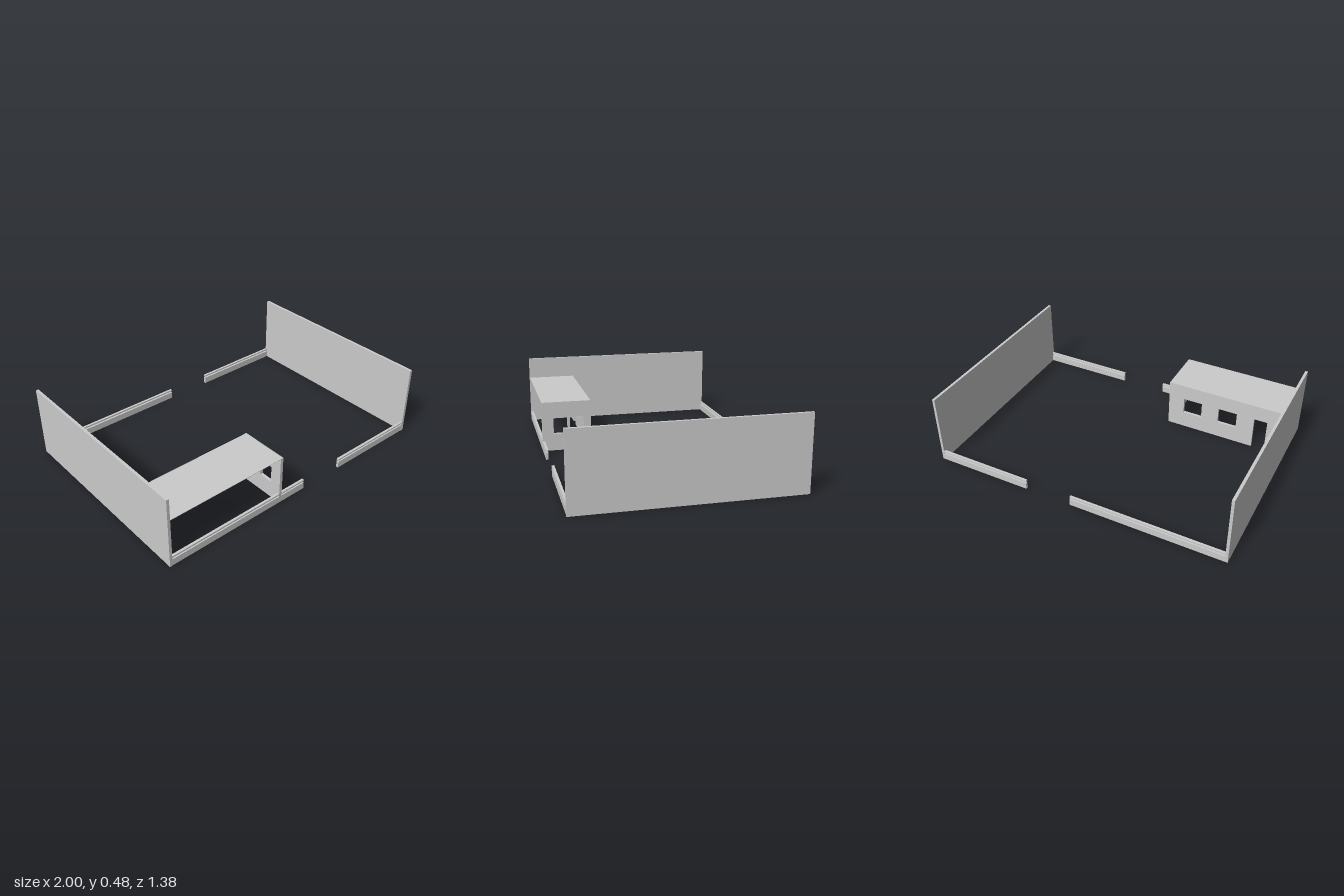
import * as THREE from 'three';

const material = new THREE.MeshStandardMaterial({ color: 0xcccccc, flatShading: true, side: THREE.DoubleSide });

// Box given by its lower and upper limits on each axis
function block(name, [x0, x1], [y0, y1], [z0, z1]) {
  const geometry = new THREE.BoxGeometry(x1 - x0, y1 - y0, z1 - z0);
  geometry.translate((x0 + x1) / 2, (y0 + y1) / 2, (z0 + z1) / 2);
  const mesh = new THREE.Mesh(geometry, material);
  mesh.name = name;
  return mesh;
}

function rectangle(Type, x0, x1, y0, y1) {
  return new Type([[x0, y0], [x1, y0], [x1, y1], [x0, y1]].map(p => new THREE.Vector2(...p)));
}

// Upright wall in the xy plane with rectangular openings
function piercedWall(name, outline, openings, depth) {
  for (const o of openings) outline.holes.push(rectangle(THREE.Path, ...o));
  const mesh = new THREE.Mesh(new THREE.ExtrudeGeometry(outline, { depth, bevelEnabled: false }), material);
  mesh.name = name;
  return mesh;
}

export function createModel() {
  const model = new THREE.Group();
  model.name = 'walledYard';

  // Tall walls on both sides
  model.add(block('rightWall', [-1, -0.982], [0, 0.477], [-0.688, 0.688]));
  model.add(block('leftWall', [0.982, 1], [0, 0.477], [-0.688, 0.688]));

  // Low walls front and back, with a gateway and a slim rail above each
  for (const [place, z] of [['front', [0.67, 0.686]], ['back', [-0.688, -0.672]]]) {
    for (const [side, x] of [['Right', [-0.982, 0.03]], ['Left', [0.345, 0.982]]]) {
      model.add(block(`${place}${side}LowWall`, x, [0, 0.045], z));
      model.add(block(`${place}${side}Rail`, x, [0.055, 0.066], z));
    }
  }

  // Open-fronted shelter in the corner
  const shelter = new THREE.Group();
  shelter.name = 'shelter';
  const height = 0.328;

  // Back wall: the doorway is a notch down to the ground
  const backOutline = new THREE.Shape(
    [[-0.982, 0], [-0.86, 0], [-0.86, 0.226], [-0.77, 0.226], [-0.77, 0], [-0.16, 0], [-0.16, height], [-0.982, height]]
      .map(p => new THREE.Vector2(...p)));
  const back = piercedWall('shelterBackWall', backOutline,
    [[-0.65, -0.52, 0.115, 0.226], [-0.4, -0.27, 0.115, 0.226]], 0.018);
  back.position.z = 0.36;

  // End wall with a pair of windows, turned so its width runs along z
  const end = piercedWall('shelterEndWall', rectangle(THREE.Shape, -0.686, -0.378, 0, height),
    [[-0.61, -0.517, 0.115, 0.226], [-0.5, -0.407, 0.115, 0.226]], 0.02);
  end.rotation.y = Math.PI / 2;
  end.position.x = -0.18;

  const roof = block('shelterRoof', [-0.982, -0.16], [height, height + 0.003], [0.36, 0.686]);
  shelter.add(back, end, roof);
  model.add(shelter);
  return model;
}
